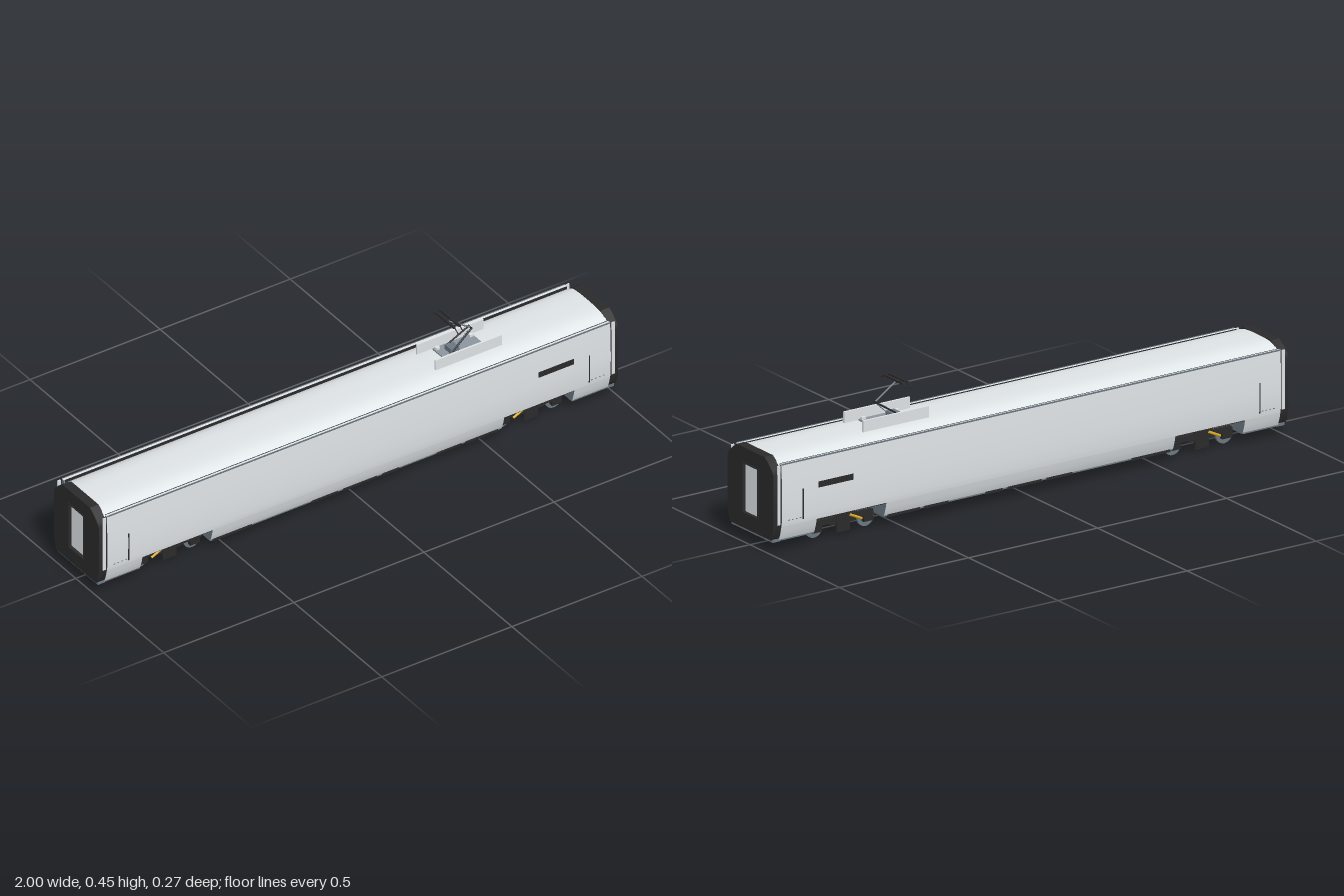
import * as THREE from 'three';
import { toCreasedNormals } from 'three/addons/utils/BufferGeometryUtils.js';

const mat = (name, color) => {
  const m = new THREE.MeshStandardMaterial({ color });
  m.name = name;
  return m;
};

export function createModel() {
  const silver = mat('silver', 0xe1e6e9);
  const black = mat('black', 0x2b2b2b);
  const slate = mat('slate', 0x6c7883);
  const steel = mat('steel', 0x8d979f);
  const yellow = mat('yellow', 0xe0ac20);
  const model = new THREE.Group();
  model.name = 'railCar';

  const add = (parent, name, geo, material, x = 0, y = 0, z = 0) => {
    const m = new THREE.Mesh(geo, material);
    m.name = name;
    m.position.set(x, y, z);
    parent.add(m);
    return m;
  };
  // Box given by its limits on each axis
  const box = (parent, name, material, x0, x1, y0, y1, z0, z1) =>
    add(parent, name, new THREE.BoxGeometry(x1 - x0, y1 - y0, z1 - z0), material,
      (x0 + x1) / 2, (y0 + y1) / 2, (z0 + z1) / 2);
  // Round bar between two points
  const bar = (parent, name, material, a, b, r) => {
    const p = new THREE.Vector3(...a), q = new THREE.Vector3(...b);
    const m = add(parent, name, new THREE.CylinderGeometry(r, r, p.distanceTo(q), 8), material);
    m.position.copy(p).add(q).multiplyScalar(0.5);
    m.quaternion.setFromUnitVectors(new THREE.Vector3(0, 1, 0), q.sub(p).normalize());
    return m;
  };
  // Mirrored cross-section (half-width, height) swept along x
  const section = half => new THREE.Shape([
    ...half.map(([z, y]) => new THREE.Vector2(z, y)),
    ...half.slice().reverse().map(([z, y]) => new THREE.Vector2(-z, y)),
  ]);
  const sweep = (parent, name, shape, material, x0, x1) => {
    const g = new THREE.ExtrudeGeometry(shape, { depth: x1 - x0, bevelEnabled: false });
    g.rotateY(Math.PI / 2);
    return add(parent, name, toCreasedNormals(g, 0.5), material, x0);
  };

  // Body shell: full-length upper part, skirts broken by the bogie openings
  const upper = section([
    [0.128, 0.09], [0.131, 0.11], [0.1315, 0.18], [0.13, 0.25], [0.1275, 0.3], [0.117, 0.3],
    [0.115, 0.289], [0.111, 0.293], [0.102, 0.301], [0.088, 0.309], [0.07, 0.314], [0.04, 0.3165], [0.01, 0.317],
  ]);
  const lower = section([[0.114, 0.043], [0.117, 0.05], [0.123, 0.068], [0.128, 0.09]]);
  sweep(model, 'bodyShell', upper, [slate, silver], -0.967, 0.967);
  for (const [a, b] of [[-0.967, -0.83], [-0.56, 0.56], [0.83, 0.967]]) {
    sweep(model, 'skirt', lower, [slate, silver], a, b);
    box(model, 'floor', slate, a, b, 0.038, 0.043, -0.113, 0.113);
  }
  // Underfloor equipment covers
  for (const [a, b] of [[-0.55, -0.4], [-0.17, -0.07], [-0.05, 0.08], [0.1, 0.165], [0.31, 0.405], [0.42, 0.545]])
    box(model, 'underfloorCover', black, a, b, 0.035, 0.046, -0.1145, 0.1145);

  for (const s of [1, -1]) {
    // Roof gutter: dark inner seam and outer lip
    box(model, 'gutterSeam', black, -0.965, 0.965, 0.288, 0.3005, s * 0.1155 - 0.001, s * 0.1155 + 0.001);
    box(model, 'gutterLip', slate, -0.965, 0.965, 0.297, 0.302, s * 0.1278 - 0.001, s * 0.1278 + 0.001);
    // Side grille
    const grille = new THREE.Group();
    grille.name = 'sideGrille';
    model.add(grille);
    box(grille, 'grillePanel', black, 0.69, 0.825, 0.196, 0.216, s * 0.131 - 0.0015, s * 0.131 + 0.0015);
    for (let i = 0; i < 9; i++)
      box(grille, 'grilleSlat', black, 0.696 + i * 0.0143, 0.703 + i * 0.0143, 0.198, 0.214,
        s * 0.132 - 0.0015, s * 0.132 + 0.0015);
    // Door seams and small markings near the ends
    for (const e of [1, -1]) {
      box(model, 'doorSeam', black, e * 0.885 - 0.002, e * 0.885 + 0.002, 0.102, 0.205,
        s * 0.131 - 0.001, s * 0.131 + 0.001);
      for (let i = 0; i < 4; i++) {
        const x = e * (0.895 + i * 0.015);
        box(model, 'marking', slate, x - 0.003, x + 0.003, 0.107, 0.11, s * 0.1305 - 0.001, s * 0.1305 + 0.001);
      }
    }
  }

  // Gangway ends
  const endHalf = [[0.112, 0.046], [0.12, 0.06], [0.128, 0.097], [0.128, 0.268], [0.12, 0.283], [0.1, 0.302], [0.078, 0.318]];
  const endShape = section(endHalf);
  endShape.holes.push(new THREE.Path([[-0.041, 0.099], [-0.041, 0.264], [0.041, 0.264], [0.041, 0.099]]
    .map(p => new THREE.Vector2(...p))));
  for (const e of [1, -1]) {
    const end = new THREE.Group();
    end.name = 'gangwayEnd';
    if (e < 0) end.rotation.y = Math.PI;
    model.add(end);
    sweep(end, 'gangwayFrame', endShape, black, 0.965, 0.998);
    box(end, 'gangwayDoor', silver, 0.968, 0.988, 0.097, 0.266, -0.043, 0.043);
    box(end, 'bufferBeam', slate, 0.962, 0.992, 0.037, 0.047, -0.114, 0.114);
    for (const s of [1, -1]) {
      box(end, 'doorFrame', black, 0.99, 1, 0.095, 0.268, s * 0.0425 - 0.002, s * 0.0425 + 0.002);
      box(end, 'cornerStrip', silver, 0.972, 0.983, 0.098, 0.298, s * 0.1285 - 0.002, s * 0.1285 + 0.002);
    }
    for (const y of [0.097, 0.266])
      box(end, 'doorFrame', black, 0.99, 1, y - 0.002, y + 0.002, -0.0445, 0.0445);
  }

  // Bogies
  for (const c of [-0.695, 0.695]) {
    const bogie = new THREE.Group();
    bogie.name = 'bogie';
    bogie.position.x = c;
    model.add(bogie);
    box(bogie, 'archCeiling', black, -0.134, 0.134, 0.087, 0.09, -0.126, 0.126);
    box(bogie, 'bolster', black, -0.03, 0.03, 0.026, 0.088, -0.05, 0.05);
    box(bogie, 'crossBeam', black, -0.05, 0.05, 0.036, 0.056, -0.08, 0.08);
    for (const w of [-0.1, 0.1]) {
      bar(bogie, 'axle', slate, [w, 0.032, -0.075], [w, 0.032, 0.075], 0.006);
      box(bogie, 'motor', black, w * 0.6 - 0.015, w * 0.6 + 0.015, 0.026, 0.055, -0.035, 0.035);
      for (const s of [1, -1]) {
        const wheel = add(bogie, 'wheel', new THREE.CylinderGeometry(0.032, 0.032, 0.01, 24), slate, w, 0.032, s * 0.057);
        wheel.rotation.x = Math.PI / 2;
        const disc = add(bogie, 'brakeDisc', new THREE.CylinderGeometry(0.019, 0.019, 0.005, 20), steel, w, 0.032, s * 0.022);
        disc.rotation.x = Math.PI / 2;
        box(bogie, 'axleBox', black, w - 0.019, w + 0.019, 0.022, 0.056, s * 0.073 - 0.007, s * 0.073 + 0.007);
      }
    }
    for (const s of [1, -1]) {
      box(bogie, 'sideFrame', black, -0.115, 0.115, 0.043, 0.062, s * 0.076 - 0.006, s * 0.076 + 0.006);
      box(bogie, 'sideBlock', black, -0.026, 0.026, 0.009, 0.08, s * 0.078 - 0.005, s * 0.078 + 0.005);
      bar(bogie, 'damper', yellow, [-0.07, 0.038, s * 0.083], [-0.024, 0.06, s * 0.083], 0.0045);
      bar(bogie, 'sandPipe', steel, [0.125, 0.012, s * 0.022], [0.125, 0.045, s * 0.022], 0.002);
      bar(bogie, 'sandPipe', steel, [0.125, 0.045, s * 0.022], [0.1, 0.045, s * 0.022], 0.002);
    }
  }

  // Pantograph
  const panto = new THREE.Group();
  panto.name = 'pantograph';
  model.add(panto);
  box(panto, 'basePlate', steel, 0.4, 0.55, 0.316, 0.322, -0.043, 0.043);
  box(panto, 'pivotBlock', slate, 0.43, 0.462, 0.322, 0.34, -0.018, 0.018);
  for (const s of [1, -1]) {
    box(panto, 'screen', silver, 0.345, 0.6, 0.312, 0.353, s * 0.053 - 0.0035, s * 0.053 + 0.0035);
    for (const x of [0.41, 0.54])
      box(panto, 'insulator', silver, x - 0.007, x + 0.007, 0.32, 0.331, s * 0.031 - 0.005, s * 0.031 + 0.005);
    bar(panto, 'lowerArm', black, [0.435, 0.332, s * 0.02], [0.515, 0.384, s * 0.008], 0.0028);
    bar(panto, 'headSupport', black, [0.432, 0.438, 0], [0.432 + s * 0.01, 0.446, 0], 0.002);
    // Contact strips with drooping horns
    const x = 0.432 + s * 0.01;
    box(panto, 'contactStrip', black, x - 0.004, x + 0.004, 0.443, 0.449, -0.05, 0.05);
    for (const h of [1, -1])
      bar(panto, 'horn', black, [x, 0.447, h * 0.049], [x, 0.435, h * 0.07], 0.0018);
  }
  bar(panto, 'elbow', black, [0.515, 0.385, -0.01], [0.515, 0.385, 0.01], 0.003);
  bar(panto, 'upperArm', slate, [0.515, 0.385, 0], [0.432, 0.44, 0], 0.0028);
  bar(panto, 'controlRod', slate, [0.46, 0.332, 0], [0.508, 0.376, 0], 0.0015);

  return model;
}
